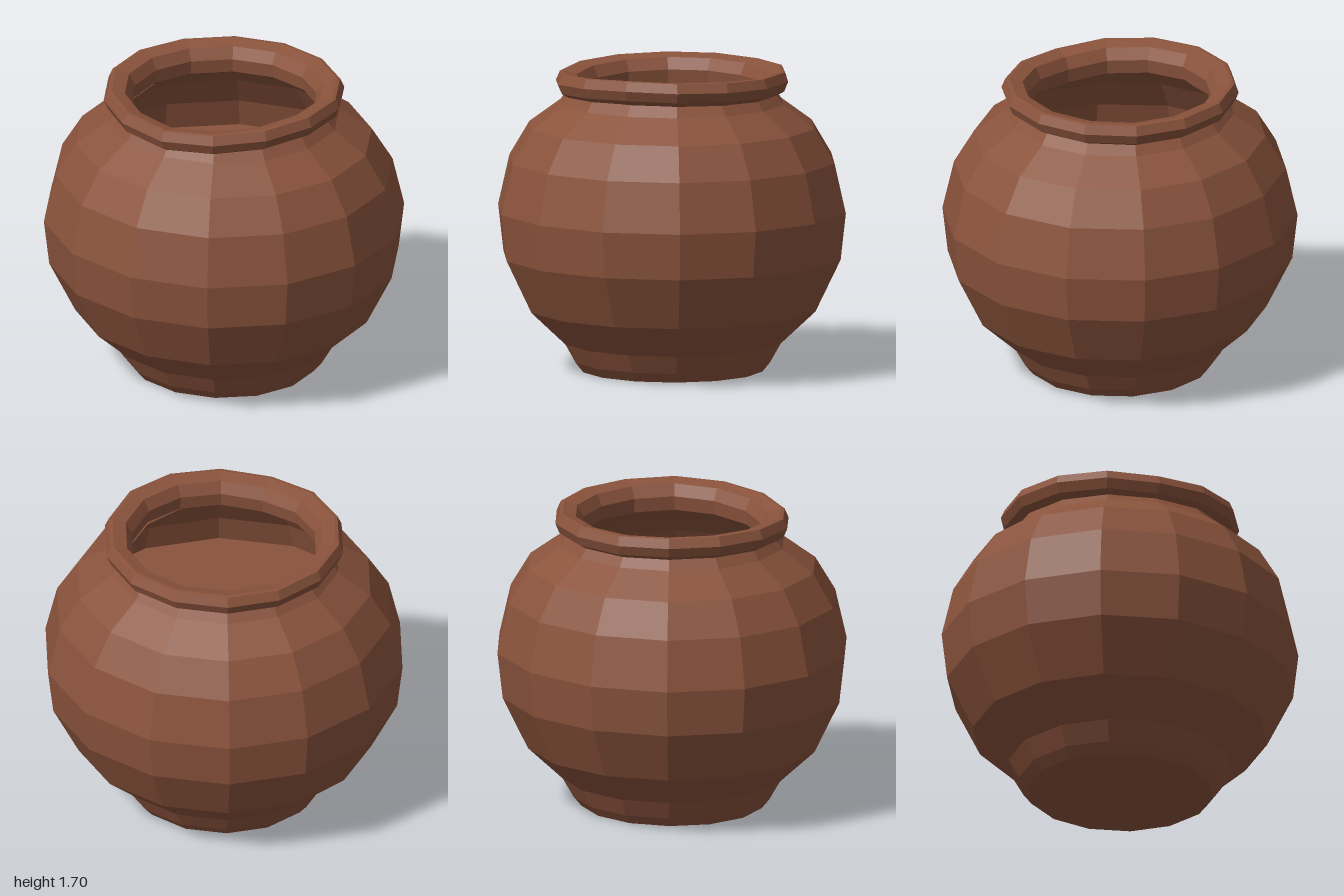
import * as THREE from 'three';

const SIDES = 14;
const PHASE = 0.075;
// Uneven hand-made lip: height offset at each corner
const LIP = [-0.01, 0.005, 0.015, 0.01, 0.005, 0, 0, 0, 0, 0.005, 0.005, 0, -0.01, -0.025];

// Faceted ring surface from [radius, height] pairs
function turned(name, profile, material, wobble = 0) {
  const points = profile.map(([r, y]) => new THREE.Vector2(r, y));
  const geometry = new THREE.LatheGeometry(points, SIDES, PHASE);
  const pos = geometry.attributes.position;
  for (let i = 0; i < pos.count; i++) {
    const corner = Math.floor(i / points.length) % SIDES;
    pos.setXYZ(i, pos.getX(i) * 1.01, pos.getY(i) + LIP[corner] * wobble, pos.getZ(i) * 0.98);
  }
  const flat = geometry.toNonIndexed();
  flat.computeVertexNormals();
  const mesh = new THREE.Mesh(flat, material);
  mesh.name = name;
  return mesh;
}

export function createModel() {
  const clay = new THREE.MeshStandardMaterial({ color: 0x8a533c, flatShading: true, side: THREE.DoubleSide });
  clay.name = 'terracotta';
  const pot = new THREE.Group();
  pot.name = 'pot';

  // Closed foot and round belly up to the neck
  pot.add(turned('body', [
    [0, 0], [0.52, 0], [0.565, 0.055], [0.625, 0.16], [0.825, 0.345], [0.97, 0.64],
    [1.0, 0.9], [0.935, 1.18], [0.82, 1.37], [0.64, 1.5], [0.595, 1.56],
  ], clay));

  // Thick lip, outside to inside
  pot.add(turned('rim', [
    [0.59, 1.545], [0.645, 1.575], [0.668, 1.63], [0.645, 1.682], [0.625, 1.685],
    [0.55, 1.665], [0.515, 1.6], [0.525, 1.52],
  ], clay, 1));

  // Hollow wall and flat floor
  pot.add(turned('innerWall', [
    [0.525, 1.52], [0.6, 1.47], [0.77, 1.35], [0.89, 1.17], [0.94, 1.0],
  ], clay));
  pot.add(turned('innerFloor', [[0.94, 1.0], [0, 1.0]], clay));

  return pot;
}
